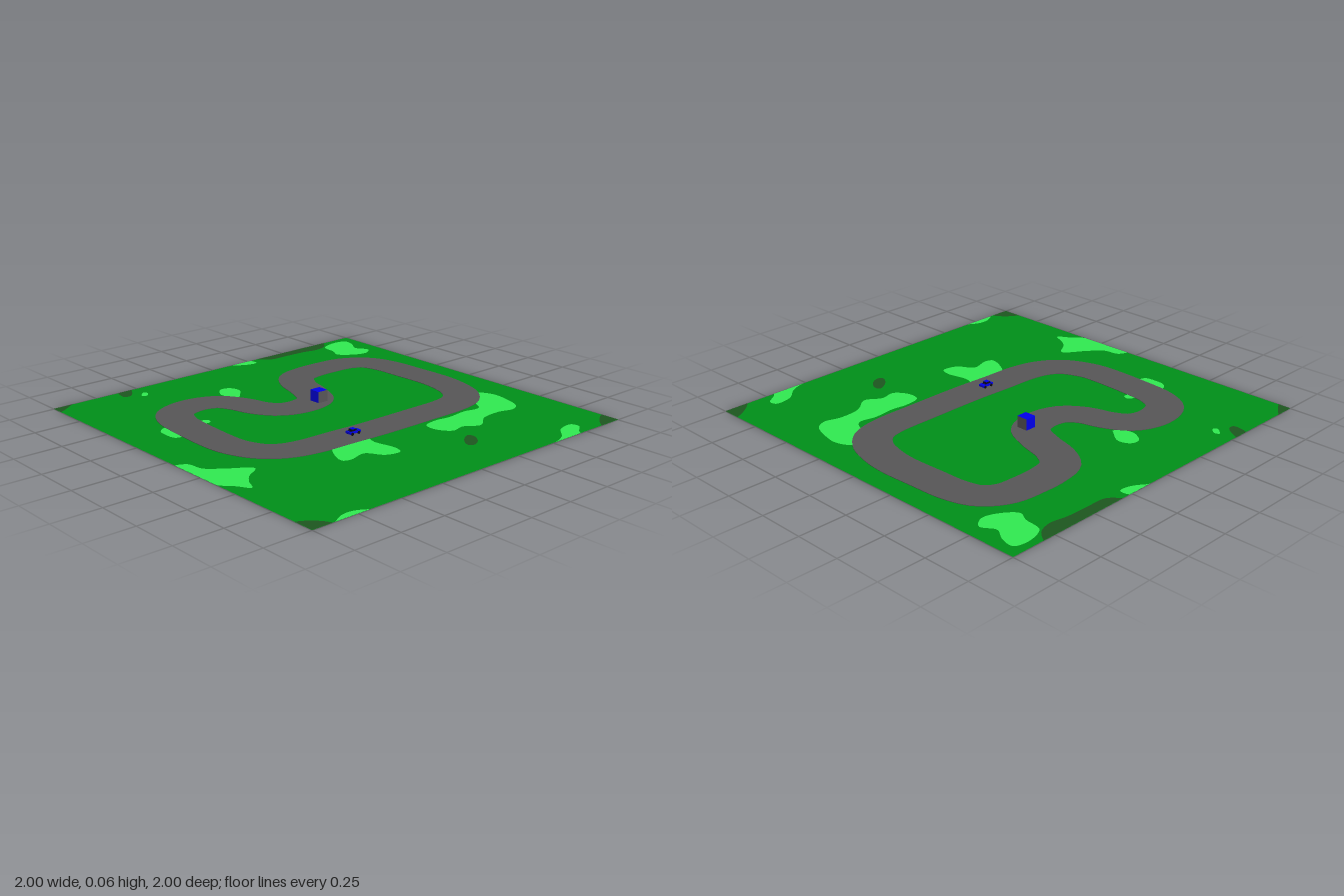
import * as THREE from 'three';

const mat = (name, color, side = THREE.FrontSide) => {
  const m = new THREE.MeshStandardMaterial({ color, side });
  m.name = name;
  return m;
};

export function createModel() {
  const model = new THREE.Group();
  model.name = 'raceTrack';
  const grass = mat('grass', 0x008e18, THREE.DoubleSide);
  const lightGrass = mat('lightGrass', 0x30e850, THREE.DoubleSide);
  const darkGrass = mat('darkGrass', 0x1c561e, THREE.DoubleSide);
  const asphalt = mat('asphalt', 0x565456);
  const blue = mat('blue', 0x0000e8);
  const black = mat('black', 0x0a0a10);

  const add = (parent, name, geometry, material, x = 0, y = 0, z = 0) => {
    const mesh = new THREE.Mesh(geometry, material);
    mesh.name = name;
    mesh.position.set(x, y, z);
    parent.add(mesh);
    return mesh;
  };

  // Flat square of grass
  add(model, 'ground', new THREE.PlaneGeometry(2, 2).rotateX(-Math.PI / 2), grass, 0, 0.0013, 0);

  // Smooth blob from x, z pairs in hundredths, trimmed at the ground's edge, on both faces
  const patch = (name, material, pairs) => {
    const pts = [];
    for (let i = 0; i < pairs.length; i += 2) pts.push(new THREE.Vector3(pairs[i] / 100, pairs[i + 1] / 100, 0));
    const outline = new THREE.CatmullRomCurve3(pts, true).getPoints(pts.length * 6).slice(0, -1)
      .map(p => new THREE.Vector2(THREE.MathUtils.clamp(p.x, -1, 1), THREE.MathUtils.clamp(p.y, -1, 1)));
    const geometry = new THREE.ShapeGeometry(new THREE.Shape(outline)).rotateX(Math.PI / 2);
    add(model, name + 'Top', geometry, material, 0, 0.0021, 0);
    add(model, name + 'Underside', geometry, material, 0, 0.0005, 0);
  };
  const light = pairs => patch('lightPatch', lightGrass, pairs);
  const dark = pairs => patch('darkPatch', darkGrass, pairs);

  light([76, -92, 81, -95, 89, -96, 94, -94, 93, -87, 89, -80, 92.5, -73, 87, -68.5, 80, -70, 72, -77, 74.5, -83]);
  light([11, -103, 20, -95.5, 27, -95, 25, -103]);
  light([-55, -88, -51, -92, -50, -90, -53, -86.5]);
  light([-23, -62, -18, -69, -13, -68, -11, -62, -16, -55, -18, -53, -22, -57]);
  light([-74, -39, -79, -36, -80, -30, -79, -24, -75, -23, -70, -30]);
  light([-56, -36, -52, -34, -53, -31, -56, -31]);
  light([-103, 6, -95, 8, -93, 17, -85, 24, -75, 32, -83, 38, -87, 43, -90.5, 49.5, -95, 43, -103, 33]);
  light([-30, 34, -40, 51, -36, 53, -26, 51, -20, 59, -12, 60.5, -10, 55, -12, 43, -10, 34]);
  light([23, 43, 22, 50, 27, 57, 35, 56, 43, 60.5, 53, 54, 65, 53, 73, 55, 79, 52, 83, 42, 84, 32, 79, 24,
    70, 28, 62, 42, 52, 41, 40, 42, 32, 41]);
  light([-90, 103, -82, 97, -74, 97, -66, 103]);
  light([46, 103, 60, 97, 68, 90, 77, 89, 78, 93, 72, 98, 68, 103]);
  dark([-108, -108, -88, -103, -95, -96, -103, -93]);
  dark([-60, -103, -53, -103, -59, -92, -63, -92]);
  dark([31, -103, 36, -95, 48, -94, 60, -93.5, 70, -92, 78, -95, 82, -103]);
  dark([18, 75, 22, 69, 28, 66, 29, 69, 25, 75, 20, 77]);
  dark([-103, 89, -93, 94, -89, 103, -108, 108]);
  dark([86, 103, 93, 94, 103, 90, 108, 108]);

  // Closed ribbon of road, swept along its centre line
  const centreLine = [
    [-0.663, 0], [-0.655, -0.3], [-0.635, -0.44], [-0.585, -0.53], [-0.5, -0.57], [-0.4, -0.572],
    [-0.31, -0.53], [-0.25, -0.43], [-0.215, -0.315], [-0.145, -0.226], [-0.02, -0.198], [0.09, -0.236],
    [0.155, -0.365], [0.195, -0.495], [0.265, -0.59], [0.38, -0.62], [0.5, -0.622], [0.64, -0.605],
    [0.735, -0.536], [0.775, -0.42], [0.785, -0.25], [0.79, -0.05], [0.775, 0.06], [0.735, 0.178],
    [0.66, 0.258], [0.56, 0.288], [0.3, 0.294], [0, 0.293], [-0.2, 0.283], [-0.4, 0.273],
    [-0.52, 0.238], [-0.6, 0.172], [-0.645, 0.08],
  ].map(([x, z]) => new THREE.Vector3(x, 0.0018, z));
  const roadSection = new THREE.Shape([[-0.0018, -0.096], [0.0018, -0.096], [0.0018, 0.096], [-0.0018, 0.096]]
    .map(([x, y]) => new THREE.Vector2(x, y)));
  add(model, 'road', new THREE.ExtrudeGeometry(roadSection, {
    steps: 160, bevelEnabled: false, extrudePath: new THREE.CatmullRomCurve3(centreLine, true),
  }), asphalt);

  // Trackside block: grey on its front and +x faces, blue elsewhere
  add(model, 'block', new THREE.BoxGeometry(0.06, 0.06, 0.063),
    [asphalt, blue, blue, blue, asphalt, blue], 0.086, 0.033, -0.203);

  // Small blue car with dark windows and trim
  const car = new THREE.Group();
  car.name = 'car';
  car.position.set(-0.122, 0.0036, 0.285);
  model.add(car);
  const box = (name, material, w, h, d, x, y, z = 0) =>
    add(car, name, new THREE.BoxGeometry(w, h, d), material, x, y, z);
  box('body', blue, 0.068, 0.011, 0.034, 0, 0.0125);
  box('windows', black, 0.028, 0.009, 0.024, -0.005, 0.0225);
  box('roof', blue, 0.022, 0.003, 0.022, -0.005, 0.0285);
  box('bonnetTrim', black, 0.003, 0.001, 0.03, 0.014, 0.0184);
  box('bootTrim', black, 0.003, 0.001, 0.03, -0.024, 0.0184);
  const wheel = new THREE.CylinderGeometry(0.0075, 0.0075, 0.007, 12).rotateX(Math.PI / 2);
  for (const x of [-0.021, 0.021]) {
    for (const side of [-1, 1]) add(car, 'wheel', wheel, black, x, 0.0075, side * 0.0165);
  }
  return model;
}
